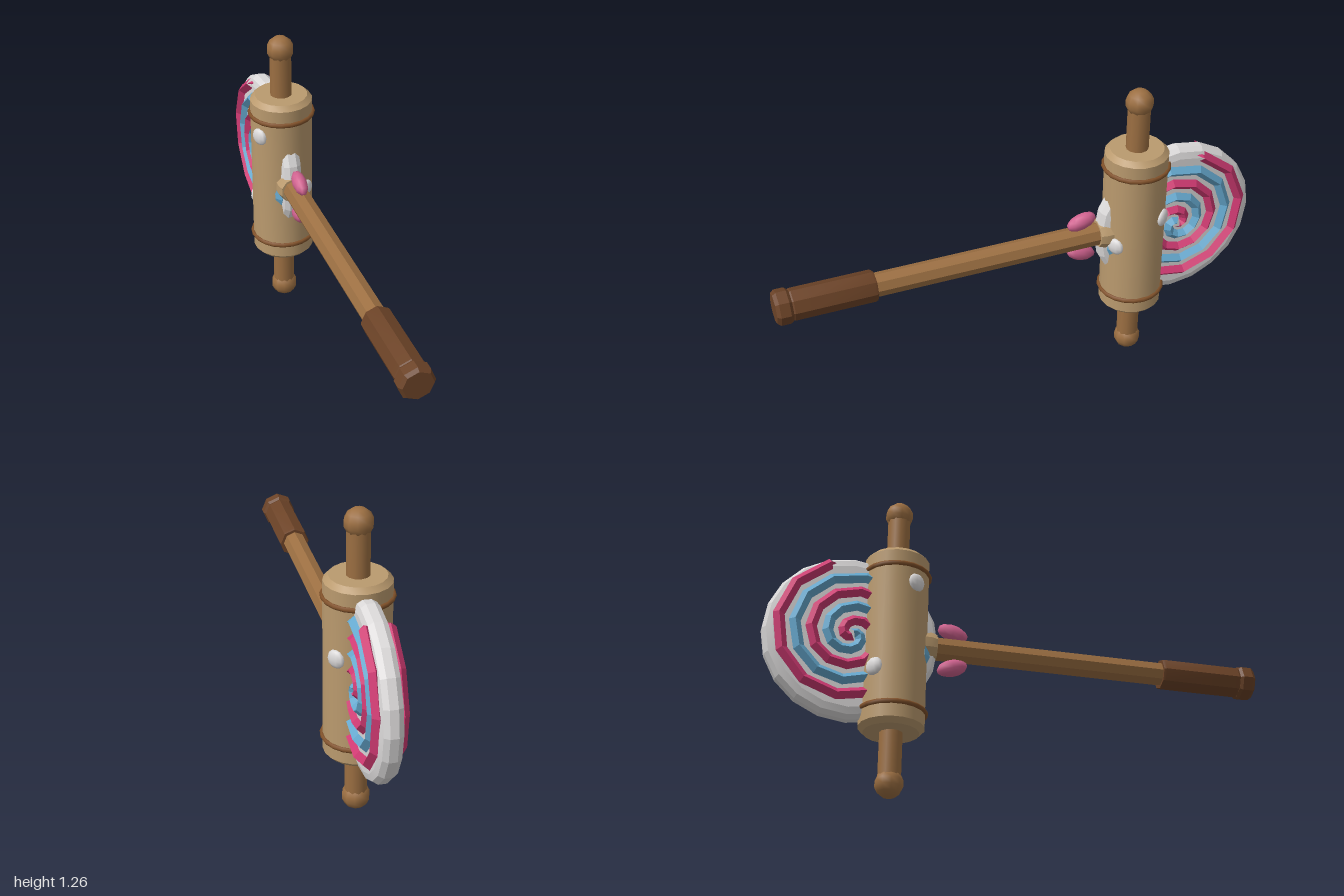
import * as THREE from 'three';
import { toCreasedNormals } from 'three/addons/utils/BufferGeometryUtils.js';

const MID = 0.633;      // height of the handle axis
const PIN_Z = -0.487;   // rolling pin axis
const DISC_Z = -0.66;   // candy disc centre

const mat = (name, color) => {
  const m = new THREE.MeshStandardMaterial({ color });
  m.name = name;
  return m;
};

// Spiral in the YZ plane, sampled evenly by angle
class Spiral extends THREE.Curve {
  constructor(startAngle, x) {
    super();
    this.startAngle = startAngle;
    this.x = x;
  }
  getPoint(t, target = new THREE.Vector3()) {
    const turn = 2.36 * t;
    const a = this.startAngle + turn * Math.PI * 2;
    const r = 0.31 - 0.128 * turn;
    return target.set(this.x, r * Math.cos(a), -r * Math.sin(a));
  }
  getPointAt(t, target) { return this.getPoint(t, target); }
  getTangentAt(t, target) { return this.getTangent(t, target); }
}

export function createModel() {
  const group = new THREE.Group();
  group.name = 'candyHammer';

  const paleWood = mat('pale wood', 0xba9a6e);
  const wood = mat('wood', 0x9c6f42);
  const ringWood = mat('ring wood', 0x82522a);
  const darkWood = mat('dark wood', 0x6c4327);
  const white = mat('white sugar', 0xdcdada);
  const pink = mat('pink candy', 0xcf3a72);
  const blue = mat('blue candy', 0x66a9cf);
  const softPink = mat('soft pink', 0xd0628f);

  const add = (name, geometry, material, x = 0, y = 0, z = 0) => {
    const mesh = new THREE.Mesh(geometry, material);
    mesh.name = name;
    mesh.position.set(x, y, z);
    group.add(mesh);
    return mesh;
  };
  const lathe = (pts, sides, crease) => toCreasedNormals(
    new THREE.LatheGeometry(pts.map(([r, y]) => new THREE.Vector2(r, y)), sides), crease);

  // Rolling pin: chamfered barrel, rings, end grips and knobs
  add('pinBarrel', lathe([[0, -0.372], [0.108, -0.372], [0.128, -0.352],
    [0.128, 0.352], [0.108, 0.372], [0, 0.372]], 18, 0.5), paleWood, 0, MID, PIN_Z);
  for (const s of [-1, 1]) {
    const ring = new THREE.TorusGeometry(0.129, 0.01, 6, 20);
    ring.rotateX(Math.PI / 2);
    add('pinRing', ring, ringWood, 0, MID + s * 0.292, PIN_Z);
    add('pinGrip', new THREE.CylinderGeometry(0.045, 0.045, 0.24, 12),
      wood, 0, MID + s * 0.465, PIN_Z);
    add('pinKnob', new THREE.SphereGeometry(0.056, 10, 7), wood, 0, MID + s * 0.574, PIN_Z);
  }

  // Candy disc with a bevelled rim
  const disc = lathe([[0, -0.046], [0.3, -0.044], [0.327, -0.036], [0.341, -0.016],
    [0.341, 0.016], [0.327, 0.036], [0.3, 0.044], [0, 0.046]], 20, 0.1);
  disc.rotateZ(Math.PI / 2);
  add('candyDisc', disc, white, 0, MID, DISC_Z);

  // Two interleaved ridged spirals on each face
  const start = THREE.MathUtils.degToRad(18);
  for (const s of [-1, 1]) {
    [[pink, 'pinkSpiral', 0], [blue, 'blueSpiral', Math.PI]].forEach(([material, name, shift]) => {
      const curve = new Spiral(start + shift, s * 0.044);
      const tube = new THREE.TubeGeometry(curve, 28, 0.023, 4, false);
      add(name, toCreasedNormals(tube, 0.1), material, 0, MID, DISC_Z);
      // close the outer end
      const cap = new THREE.OctahedronGeometry(0.0225);
      const p = curve.getPoint(0);
      cap.scale(1, 1, 0.3);
      cap.rotateX(-(start + shift) + Math.PI / 2 + Math.PI / 2);
      cap.rotateX(Math.PI / 2);
      add(name + 'End', toCreasedNormals(cap, 0.1), material, p.x, MID + p.y, DISC_Z + p.z);
    });
  }

  // Long handle along z: collar, stick, grip and pommel
  const rod = (name, pts, sides, material) => {
    const g = lathe(pts, sides, 0.5);
    g.rotateX(Math.PI / 2);
    add(name, g, material, 0, MID, 0);
  };
  rod('handleCollar', [[0, -0.42], [0.064, -0.42], [0.064, -0.35], [0.056, -0.325], [0, -0.325]], 10, paleWood);
  rod('handleStick', [[0, -0.4], [0.048, -0.4], [0.048, 0.62], [0, 0.62]], 8, wood);
  rod('handleGrip', [[0, 0.605], [0.06, 0.605], [0.064, 0.615], [0.064, 0.93],
    [0.058, 0.94], [0, 0.94]], 8, darkWood);
  rod('handlePommel', [[0, 0.936], [0.062, 0.936], [0.071, 0.947], [0.071, 0.986],
    [0.06, 1], [0, 1]], 8, darkWood);

  // Pink drops above and below the handle
  for (const s of [-1, 1]) {
    const drop = new THREE.SphereGeometry(1, 10, 7);
    drop.scale(0.03, 0.034, 0.064);
    const mesh = add('pinkDrop', drop, softPink, 0, MID + s * 0.075, -0.257);
    mesh.rotation.x = s * 0.3;
  }

  // Flattened sugar dots around the barrel: [x, z, y]
  for (const [x, z, y] of [[-0.115, 0.06, 0.855], [0.07, 0.11, 0.6],
    [0.1, -0.08, 0.715], [-0.09, -0.09, 0.49]]) {
    const dot = new THREE.SphereGeometry(1, 10, 6);
    dot.scale(0.037, 0.037, 0.018);
    const a = Math.atan2(x, z);
    const mesh = add('sugarDot', dot, white, 0.127 * Math.sin(a), y, PIN_Z + 0.127 * Math.cos(a));
    mesh.rotation.y = a;
  }
  return group;
}
